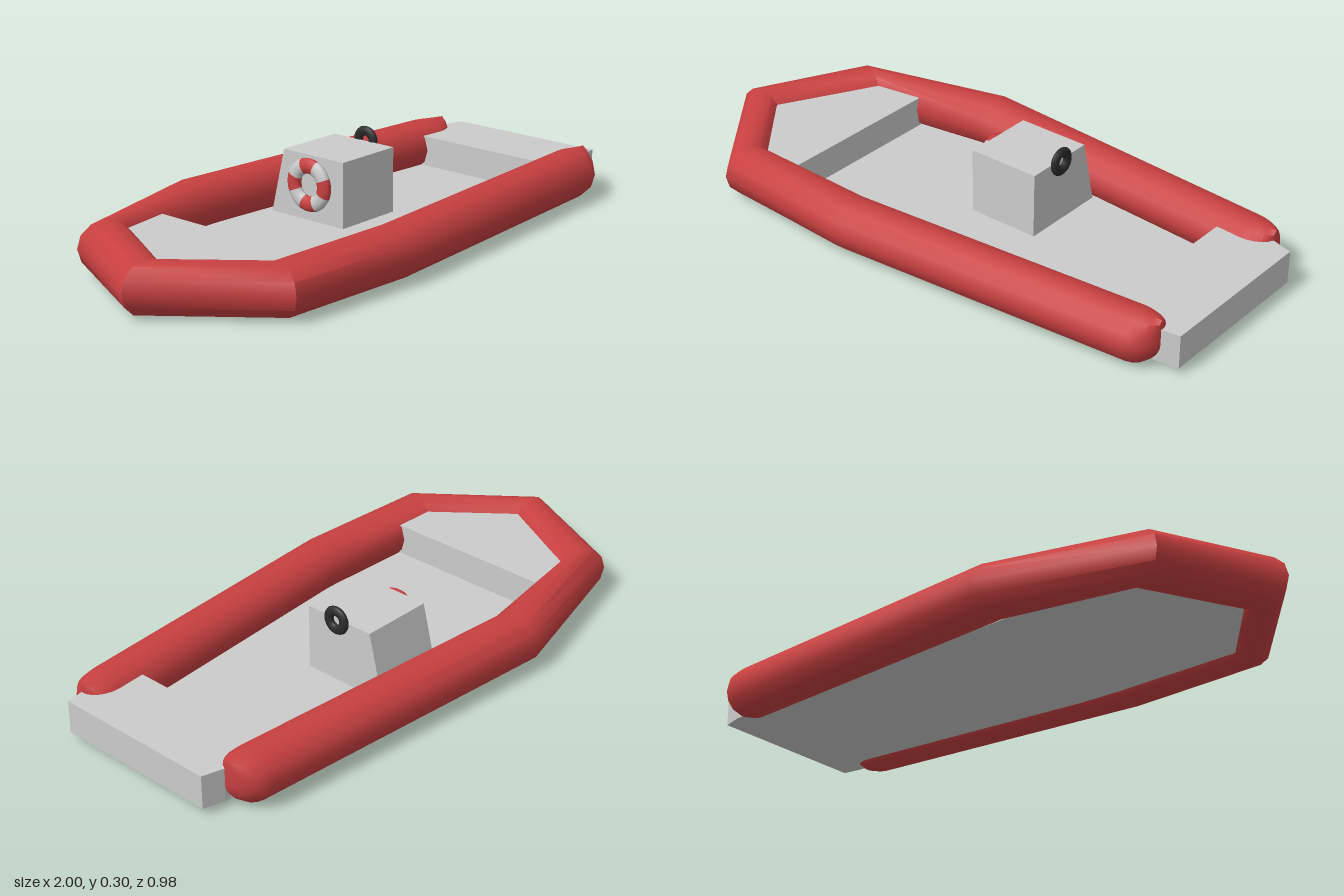
import * as THREE from 'three';
import { toCreasedNormals } from 'three/addons/utils/BufferGeometryUtils.js';

const mat = (color) => new THREE.MeshStandardMaterial({ color });

function add(parent, name, geometry, material) {
  const mesh = new THREE.Mesh(geometry, material);
  mesh.name = name;
  parent.add(mesh);
  return mesh;
}

// Flat slab from a plan outline of [x, z] points, between two heights
function slab(points, y0, y1) {
  const shape = new THREE.Shape(points.map(([x, z]) => new THREE.Vector2(x, -z)));
  return new THREE.ExtrudeGeometry(shape, { depth: y1 - y0, bevelEnabled: false })
    .rotateX(-Math.PI / 2).translate(0, y0, 0);
}

// Inflated collar: mitred rings between outer and inner plan corners, with rounded tail ends
function collarGeometry() {
  const SIDES = 12, CAP = 6, R = 0.085, Y = 0.09, CAP_LENGTH = 0.09;
  const corners = [ // outer x, z, inner x, z
    [0.84, -0.405, 0.84, -0.225],
    [-0.255, -0.495, -0.255, -0.305],
    [-0.81, -0.335, -0.65, -0.25],
    [-1, 0.065, -0.82, 0.065],
    [-0.69, 0.455, -0.635, 0.29],
    [-0.19, 0.487, -0.18, 0.3],
    [0.85, 0.4, 0.85, 0.22],
  ].map(([ox, oz, ix, iz]) => ({
    c: new THREE.Vector3((ox + ix) / 2, Y, (oz + iz) / 2),
    h: new THREE.Vector3((ox - ix) / 2, 0, (oz - iz) / 2),
    low: 1, high: 1,
  }));

  // Tail ends round off in plan and underneath, but stay almost level on top
  const cap = (end, next) => {
    const dir = end.c.clone().sub(next.c).normalize();
    return Array.from({ length: CAP }, (_, i) => {
      const phi = ((i + 1) / CAP) * Math.PI / 2;
      return {
        c: end.c.clone().addScaledVector(dir, CAP_LENGTH * Math.sin(phi)),
        h: end.h.clone().multiplyScalar(Math.cos(phi)),
        low: Math.cos(phi), high: 1 - 0.08 * Math.sin(phi),
      };
    });
  };
  const n = corners.length;
  const rings = [
    ...cap(corners[0], corners[1]).reverse(),
    ...corners,
    ...cap(corners[n - 1], corners[n - 2]),
  ];

  const pos = [], index = [];
  rings.forEach(({ c, h, low, high }, i) => {
    for (let j = 0; j < SIDES; j++) {
      const a = (j / SIDES) * Math.PI * 2, s = Math.sin(a);
      const p = c.clone().addScaledVector(h, Math.cos(a));
      pos.push(p.x, p.y + R * s * (s > 0 ? high : low), p.z);
      if (i === rings.length - 1) continue;
      const k = (j + 1) % SIDES, r0 = i * SIDES, r1 = r0 + SIDES;
      index.push(r0 + j, r1 + j, r0 + k, r1 + j, r1 + k, r0 + k);
    }
  });
  const g = new THREE.BufferGeometry();
  g.setAttribute('position', new THREE.Float32BufferAttribute(pos, 3));
  g.setIndex(index);
  return toCreasedNormals(g, 0.68);
}

export function createModel() {
  const boat = new THREE.Group();
  boat.name = 'inflatableBoat';
  const grey = mat(0xcccccc), red = mat(0xc94040), black = mat(0x2b2b2b), white = mat(0xf0f0f0);

  add(boat, 'inflatableCollar', collarGeometry(), red);

  // Floor, raised bow deck and stern box
  const bow = [[-0.67, -0.27], [-0.84, 0.065], [-0.65, 0.31]];
  const stern = [[0.93, 0.31], [1, 0.3], [1, -0.275], [0.93, -0.295]];
  add(boat, 'floor', slab([[-0.255, -0.33], ...bow, [-0.18, 0.325], ...stern], 0.028, 0.034), grey);
  add(boat, 'bowDeck', slab([[-0.5, -0.29], ...bow, [-0.5, 0.315]], 0.03, 0.14), grey);
  add(boat, 'sternBox', slab([[0.75, 0.3], ...stern, [0.75, -0.29]], 0.03, 0.14), grey);

  // Console with one sloping side
  const profile = new THREE.Shape([[0.025, 0.03], [0.025, 0.255], [-0.23, 0.255], [-0.285, 0.03]]
    .map(([z, y]) => new THREE.Vector2(z, y)));
  const consoleGeo = new THREE.ExtrudeGeometry(profile, { depth: 0.25, bevelEnabled: false })
    .rotateY(-Math.PI / 2).translate(0.25, 0, 0);
  add(boat, 'console', consoleGeo, grey);

  // Steering wheel
  const wheel = add(boat, 'steeringWheel', new THREE.TorusGeometry(0.0315, 0.0165, 12, 32), black);
  wheel.rotation.y = Math.PI / 2;
  wheel.scale.z = 0.72;
  wheel.position.set(0.258, 0.255, -0.1);

  // Life ring with alternating stripes
  const ring = new THREE.Group();
  ring.name = 'lifeRing';
  for (let i = 0; i < 8; i++) {
    const stripe = add(ring, i % 2 ? 'whiteStripe' : 'redStripe',
      new THREE.TorusGeometry(0.064, 0.026, 12, 6, Math.PI / 4), i % 2 ? white : red);
    stripe.rotation.z = (i - 0.5) * Math.PI / 4;
  }
  ring.rotation.y = Math.PI / 2;
  ring.scale.z = 0.68;
  ring.position.set(-0.017, 0.16, -0.105);
  boat.add(ring);

  return boat;
}
